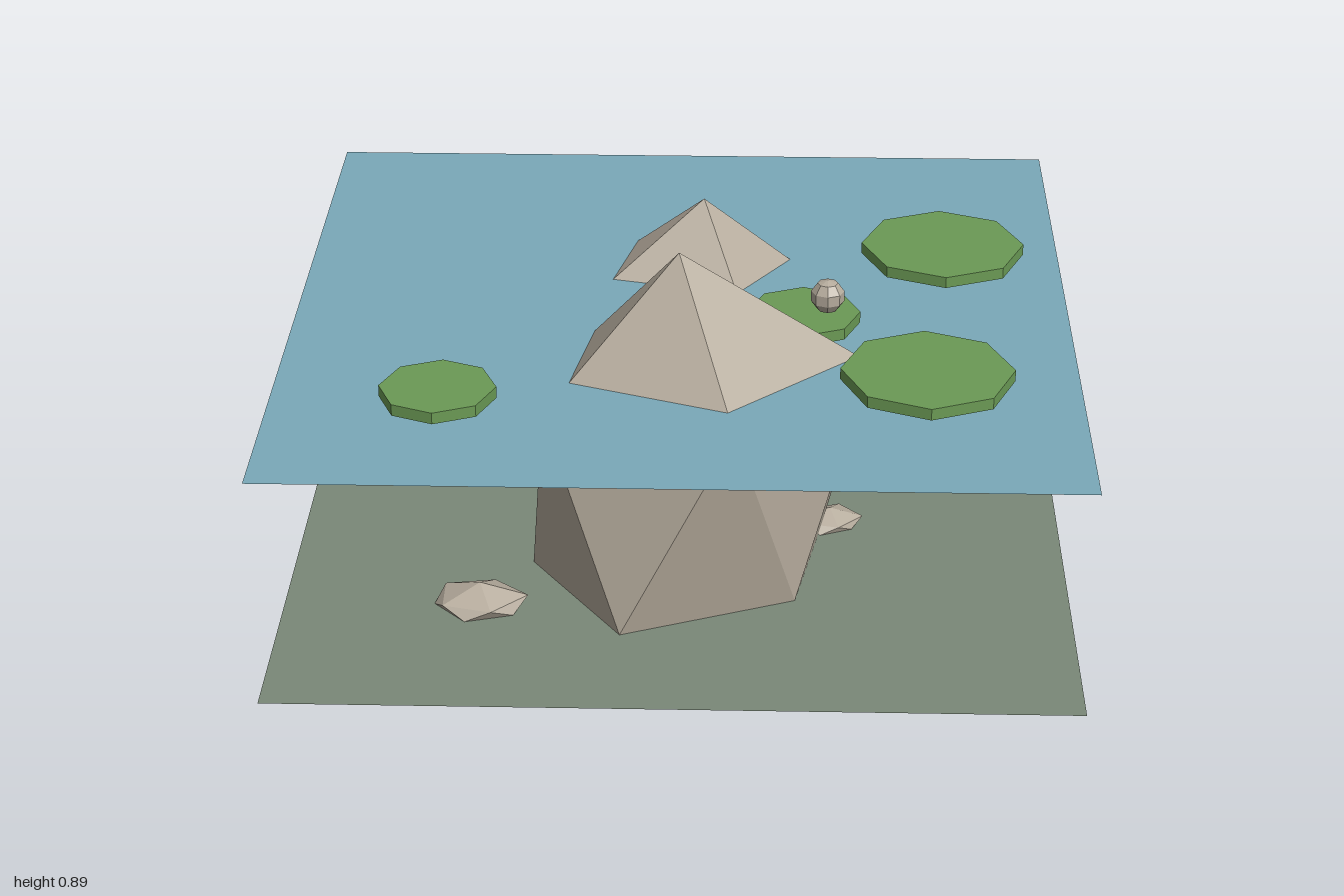
import * as THREE from 'three';

const mat = (name, color, opts = {}) => {
  const m = new THREE.MeshStandardMaterial({ color, flatShading: true, ...opts });
  m.name = name;
  return m;
};

// Faceted rock: an apex, an upper ring and a base ring turned by half a step.
function rockGeometry(apex, ring, base) {
  const tris = [];
  const n = ring.length;
  for (let k = 0; k < n; k++) {
    const j = (k + 1) % n;
    tris.push(apex, ring[j], ring[k]);
    tris.push(ring[k], ring[j], base[k]);
    tris.push(ring[j], base[j], base[k]);
  }
  const geo = new THREE.BufferGeometry();
  geo.setAttribute('position', new THREE.Float32BufferAttribute(tris.flat(), 3));
  geo.computeVertexNormals();
  return geo;
}

// Small flat stone with slightly uneven rings.
function pebbleGeometry(rx, rz, h, seed) {
  const ringOf = (offset, y) => Array.from({ length: 5 }, (_, k) => {
    const a = ((k + offset) * Math.PI * 2) / 5;
    const s = 0.93 + 0.1 * Math.sin(seed * 7.3 + k * 2.7 + offset * 5);
    return [Math.cos(a) * rx * s, y * s, Math.sin(a) * rz * s];
  });
  return rockGeometry([0, h, 0], ringOf(0, h * 0.45), ringOf(0.5, 0));
}

export function createModel() {
  const model = new THREE.Group();
  const bed = mat('pond bed grey green', 0x7a8878, { side: THREE.DoubleSide });
  const water = mat('water blue', 0x7aa9b9, { side: THREE.DoubleSide });
  const stone = mat('stone', 0xb5ab9c);
  const leaf = mat('leaf green', 0x6b9a55);

  const add = (name, geo, material, x = 0, y = 0, z = 0) => {
    const mesh = new THREE.Mesh(geo, material);
    mesh.name = name;
    mesh.position.set(x, y, z);
    model.add(mesh);
    return mesh;
  };

  // Pond bed and water surface
  const sheet = new THREE.PlaneGeometry(2, 2).rotateX(-Math.PI / 2);
  add('pondBed', sheet, bed);
  add('waterSurface', sheet, water, 0, 0.605, 0);

  // Two large rocks breaking the surface
  add('largeRock', rockGeometry(
    [0, 0.89, 0.3],
    [[0.485, 0.585, 0.29], [0.145, 0.565, 0.655], [-0.335, 0.535, 0.5], [-0.255, 0.56, 0.14], [0.118, 0.555, 0]],
    [[0.3, 0, 0.48], [-0.14, 0, 0.66], [-0.38, 0, 0.3], [-0.12, 0, 0], [0.37, 0, 0.1]],
  ), stone);
  add('smallRock', rockGeometry(
    [0.05, 0.78, -0.29],
    [[0.42, 0.5, -0.29], [0.18, 0.53, 0.025], [-0.29, 0.53, -0.09], [-0.22, 0.52, -0.455], [0.143, 0.455, -0.545]],
    [[0.27, 0, -0.13], [-0.04, 0, -0.03], [-0.27, 0, -0.29], [-0.05, 0, -0.595], [0.31, 0, -0.48]],
  ), stone);

  // Pebbles on the bed: x, z, half width, half depth, height
  [
    [-0.5, 0.52, 0.12, 0.1, 0.065],
    [0.395, 0.07, 0.085, 0.075, 0.045],
    [-0.48, -0.28, 0.12, 0.1, 0.065],
    [-0.6, -0.71, 0.125, 0.11, 0.077],
    [-0.18, -0.04, 0.08, 0.07, 0.05],
  ].forEach(([x, z, rx, rz, h], i) => add(`pebble${i + 1}`, pebbleGeometry(rx, rz, h, i + 1), stone, x, 0, z));

  // Octagonal lily pads: x, z, radius
  [
    [0.69, -0.32, 0.217],
    [0.62, 0.435, 0.217],
    [0.315, 0.11, 0.145],
    [-0.585, 0.56, 0.145],
  ].forEach(([x, z, r], i) => add(`lilyPad${i + 1}`, new THREE.CylinderGeometry(r, r, 0.03, 8), leaf, x, 0.628, z));

  // Round stone resting on a pad
  add('roundStone', new THREE.SphereGeometry(0.045, 8, 5), stone, 0.375, 0.688, 0.112);

  return model;
}
